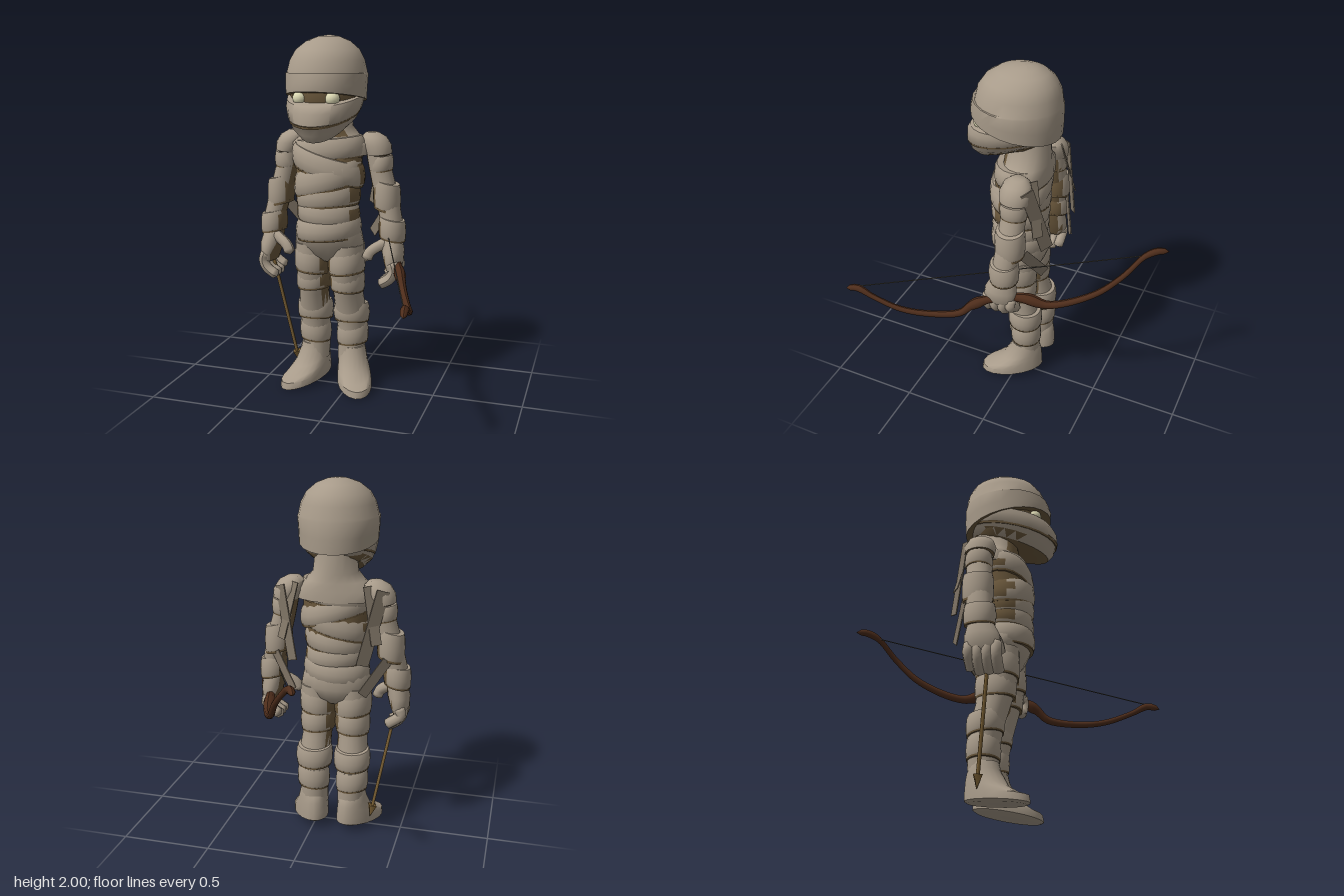
import * as THREE from 'three';
import { toCreasedNormals } from 'three/addons/utils/BufferGeometryUtils.js';

const mat = (name, color, side = THREE.FrontSide) => {
  const m = new THREE.MeshStandardMaterial({ color, side });
  m.name = name;
  return m;
};

// Stacked oval rings, bottom to top: [x, y, z, rx, rz, tiltX, tiltZ]
function loft(rings, seg = 18) {
  const pos = [], idx = [], n = rings.length;
  for (const [x, y, z, rx, rz, tx = 0, tz = 0] of rings) {
    for (let j = 0; j < seg; j++) {
      const a = (j / seg) * Math.PI * 2, dx = Math.cos(a) * rx, dz = Math.sin(a) * rz;
      pos.push(x + dx, y + dx * tx + dz * tz, z + dz);
    }
  }
  pos.push(...rings[0].slice(0, 3), ...rings[n - 1].slice(0, 3));
  for (let j = 0; j < seg; j++) {
    const k = (j + 1) % seg, top = (n - 1) * seg;
    for (let i = 0; i < n - 1; i++) {
      const a = i * seg + j, b = i * seg + k;
      idx.push(a, a + seg, b, b, a + seg, b + seg);
    }
    idx.push(n * seg, j, k, n * seg + 1, top + k, top + j);
  }
  const g = new THREE.BufferGeometry();
  g.setAttribute('position', new THREE.Float32BufferAttribute(pos, 3));
  g.setIndex(idx);
  g.computeVertexNormals();
  return toCreasedNormals(g, 0.85);
}

// Sorts faces into two material groups; isSecond(faceNormal, faceCentre) picks the second
function twoTone(g, isSecond) {
  const p = g.attributes.position, lists = [[], []], tri = new THREE.Triangle();
  const n = new THREE.Vector3(), c = new THREE.Vector3();
  for (let i = 0; i < p.count; i += 3) {
    tri.setFromAttributeAndIndices(p, i, i + 1, i + 2);
    tri.getNormal(n);
    tri.getMidpoint(c);
    lists[isSecond(n, c) ? 1 : 0].push(i, i + 1, i + 2);
  }
  g.setIndex(lists.flat());
  g.addGroup(0, lists[0].length, 0);
  g.addGroup(lists[0].length, lists[1].length, 1);
  return g;
}

// Tube whose radius follows radius(t), closed to a point by zero radius at the ends
function taperTube(points, radius, segs, sides) {
  const curve = new THREE.CatmullRomCurve3(points.map(p => new THREE.Vector3(...p)));
  const g = new THREE.TubeGeometry(curve, segs, 1, sides);
  const p = g.attributes.position, v = new THREE.Vector3();
  for (let i = 0; i <= segs; i++) {
    const c = curve.getPointAt(i / segs), r = radius(i / segs);
    for (let j = 0; j <= sides; j++) {
      const k = i * (sides + 1) + j;
      v.fromBufferAttribute(p, k).sub(c).multiplyScalar(r).add(c);
      p.setXYZ(k, v.x, v.y, v.z);
    }
  }
  g.computeVertexNormals();
  return g;
}

export function createModel() {
  const cloth = mat('bandage', 0xa89b8a), dark = mat('dark skin', 0x6b583c);
  const strip = mat('loose bandage', 0x7f7465, THREE.DoubleSide);
  const wood = mat('bow wood', 0x4e2d1b), cord = mat('bow string', 0x55524a);
  const eyeMat = mat('eye', 0xe0dcb6), shaftMat = mat('arrow', 0x7d6236);

  const model = new THREE.Group(), body = new THREE.Group();
  model.name = 'bandagedArcher';
  body.name = 'body';
  body.position.x = -0.107;
  model.add(body);
  const add = (name, geo, m, parent = body) => {
    const mesh = new THREE.Mesh(geo, m);
    mesh.name = name;
    parent.add(mesh);
    return mesh;
  };
  // Cloth with bare dark skin where the test holds
  const addPatched = (name, geo, isDark) => add(name, twoTone(geo, isDark), [cloth, dark]);
  // Bulging bandage band with a dark crease under its lower edge
  const wrap = (name, x, y0, y1, z, rx, rz, tx, tz, isDark) => {
    const ring = (t, k) => [x, y0 + (y1 - y0) * t, z, rx * k, rz * k, tx, tz];
    addPatched(name, loft([ring(0, 0.94), ring(0.12, 0.985), ring(0.45, 1), ring(0.8, 0.97), ring(1, 0.9)], 22), isDark);
    add(name + 'Crease', loft([ring(-0.07, 0.945), ring(0.02, 0.955)], 22), dark);
  };

  // Torso, bare along the flanks
  const flank = (n, c) => Math.abs(n.x) > 0.88 && c.y > 0.99 && c.y < 1.36;
  add('torsoCore', loft([[0, 0.8, 0.02, 0.12, 0.1], [0, 0.95, 0.03, 0.165, 0.145], [0, 1.1, 0.03, 0.165, 0.148],
    [0, 1.3, 0.025, 0.19, 0.156], [0, 1.42, 0.01, 0.18, 0.13]]), dark);
  addPatched('pelvis', loft([[0, 0.76, 0.01, 0.06, 0.07], [0, 0.8, 0.01, 0.15, 0.115], [0, 0.86, 0.015, 0.2, 0.14],
    [0, 0.92, 0.03, 0.19, 0.155], [0, 0.98, 0.035, 0.17, 0.15]]), n => n.y < -0.85);
  [[0.9, 1.01, 0.035, 0.188, 0.165, 0.08, 0], [0.99, 1.1, 0.035, 0.178, 0.16, -0.06, 0],
    [1.08, 1.2, 0.035, 0.182, 0.163, 0.09, 0.05], [1.17, 1.3, 0.035, 0.195, 0.168, 0.24, 0],
    [1.25, 1.37, 0.03, 0.207, 0.168, -0.3, 0], [1.34, 1.45, 0.015, 0.205, 0.153, 0.1, 0]]
    .forEach((b, i) => wrap('torsoWrap' + i, 0, ...b, flank));
  addPatched('upperBackAndNeck', loft([[0, 1.36, -0.01, 0.22, 0.13], [0, 1.42, -0.01, 0.22, 0.13], [0, 1.465, -0.01, 0.165, 0.125],
    [0, 1.51, -0.01, 0.125, 0.125], [0, 1.64, -0.01, 0.11, 0.12]]), (n, c) => n.z > 0.6 && c.y > 1.47);

  // Head
  const below = n => n.y < -0.75;
  add('face', loft([[0, 1.56, 0.07, 0.13, 0.15], [0, 1.6, 0.07, 0.18, 0.18], [0, 1.7, 0.06, 0.195, 0.2],
    [0, 1.8, 0.05, 0.19, 0.2]]), dark);
  addPatched('headWrap', loft([[0, 1.672, 0.055, 0.193, 0.225, 0, 0.18], [0, 1.672, 0.058, 0.214, 0.247, 0, 0.18],
    [0, 1.73, 0.057, 0.217, 0.25, 0, 0.1], [0, 1.8, 0.05, 0.221, 0.243, 0, 0.04], [0, 1.805, 0.046, 0.216, 0.234],
    [0, 1.87, 0.042, 0.2, 0.222], [0, 1.925, 0.036, 0.17, 0.19], [0, 1.97, 0.025, 0.115, 0.135],
    [0, 1.993, 0.015, 0.055, 0.065], [0, 2, 0.01, 0.012, 0.015]], 24), below);
  addPatched('jawWrap', loft([[0, 1.535, 0.1, 0.06, 0.13, 0, -0.42], [0, 1.54, 0.07, 0.13, 0.215, 0, -0.42],
    [0, 1.575, 0.07, 0.175, 0.245, 0, -0.36], [0, 1.605, 0.075, 0.188, 0.255, 0, -0.28], [0, 1.61, 0.075, 0.193, 0.265, 0, -0.26],
    [0, 1.66, 0.072, 0.205, 0.263, 0, -0.22], [0, 1.69, 0.065, 0.205, 0.248, 0, -0.2], [0, 1.695, 0.06, 0.185, 0.225, 0, -0.2]], 24), below);
  add('mouthCrease', loft([[0, 1.597, 0.075, 0.188, 0.259, 0, -0.28], [0, 1.607, 0.075, 0.191, 0.262, 0, -0.27]], 24), dark);

  // Loose strip lying between two points, facing back and outward
  const tail = (name, a, b, width, s) => {
    const p = new THREE.Vector3(...a), q = new THREE.Vector3(...b);
    const dir = q.clone().sub(p), len = dir.length();
    dir.normalize();
    const wide = new THREE.Vector3().crossVectors(dir, new THREE.Vector3(s * 0.6, 0, -0.8)).normalize();
    const mesh = add(name, new THREE.BoxGeometry(width, len, 0.006), strip);
    mesh.quaternion.setFromRotationMatrix(new THREE.Matrix4().makeBasis(wide, dir, wide.clone().cross(dir)));
    mesh.position.copy(p).add(q).multiplyScalar(0.5);
  };

  for (const s of [-1, 1]) {
    const side = s > 0 ? 'left' : 'right';
    const inner = n => n.x * s < -0.78;
    const innerThigh = (n, c) => inner(n) && c.y > 0.5;
    const sideLoft = (name, rings, isDark = inner) =>
      addPatched(side + name, loft(rings.map(([x, ...r]) => [s * x, ...r])), isDark);

    const eye = add(side + 'Eye', new THREE.SphereGeometry(0.039, 14, 10), eyeMat);
    eye.position.set(s * 0.09, 1.678, 0.225);

    // Arm
    sideLoft('Arm', [[0.35, 0.88, -0.02, 0.055, 0.065], [0.345, 1.0, -0.03, 0.062, 0.07], [0.32, 1.1, -0.04, 0.065, 0.07],
      [0.295, 1.2, -0.045, 0.065, 0.07], [0.27, 1.3, -0.05, 0.062, 0.07], [0.25, 1.4, -0.05, 0.06, 0.07]]);
    sideLoft('Shoulder', [[0.27, 1.355, -0.05, 0.05, 0.065], [0.268, 1.36, -0.05, 0.07, 0.082, s * 0.1],
      [0.252, 1.41, -0.05, 0.082, 0.088], [0.235, 1.455, -0.05, 0.07, 0.073], [0.225, 1.48, -0.05, 0.035, 0.038]], below);
    wrap(side + 'UpperArmWrap', s * 0.28, 1.27, 1.35, -0.05, 0.066, 0.075, s * 0.15, 0, inner);
    wrap(side + 'ElbowWrap', s * 0.315, 1.06, 1.21, -0.045, 0.077, 0.085, s * -0.25, 0, inner);
    wrap(side + 'WristWrap', s * 0.352, 0.9, 1.01, -0.025, 0.076, 0.085, s * -0.2, 0, inner);

    // Hand
    sideLoft('Palm', [[0.365, 0.73, 0, 0.035, 0.078], [0.368, 0.77, -0.005, 0.052, 0.095],
      [0.362, 0.83, -0.01, 0.062, 0.092], [0.35, 0.9, -0.02, 0.058, 0.068]]);
    const round = r => t => (t === 0 || t === 1 ? 0 : r * Math.min(1, 0.7 + 4 * Math.min(t, 1 - t)));
    for (let i = 0; i < 4; i++) {
      const z = 0.066 - i * 0.047, d = i === 3 ? 0.025 : 0;
      add(side + 'Finger' + i, taperTube([[s * 0.37, 0.79, z], [s * 0.385, 0.735, z], [s * 0.365, 0.69 + d, z],
        [s * 0.3, 0.645 + d, z]], round(0.03), 12, 8), cloth);
    }
    add(side + 'Thumb', taperTube([[s * 0.36, 0.895, 0], [s * 0.3, 0.865, 0.03], [s * 0.245, 0.825, 0.05],
      [s * 0.225, 0.775, 0.055]], round(0.031), 12, 8), cloth);

    // Leg
    sideLoft('Leg', [[0.107, 0.15, -0.045, 0.078, 0.083], [0.107, 0.24, -0.055, 0.078, 0.082], [0.112, 0.35, -0.05, 0.084, 0.085],
      [0.11, 0.45, -0.035, 0.09, 0.09], [0.103, 0.56, -0.005, 0.084, 0.093], [0.1, 0.65, 0.01, 0.093, 0.105],
      [0.1, 0.76, 0.015, 0.1, 0.115], [0.1, 0.86, 0.015, 0.1, 0.118]], innerThigh);
    wrap(side + 'ShinWrap', s * 0.113, 0.26, 0.37, -0.053, 0.093, 0.09, s * 0.1, 0, innerThigh);
    wrap(side + 'KneeWrap', s * 0.11, 0.395, 0.5, -0.045, 0.105, 0.1, 0, 0.12, innerThigh);
    wrap(side + 'LowerThighWrap', s * 0.1, 0.595, 0.71, 0.005, 0.1, 0.11, s * -0.06, 0, innerThigh);
    wrap(side + 'UpperThighWrap', s * 0.1, 0.7, 0.83, 0.015, 0.106, 0.12, s * 0.1, 0, innerThigh);

    // Foot, turned outward
    const foot = add(side + 'Foot', loft([[0, 0.025, 0.075, 0.08, 0.17, 0, -0.135], [0, 0.035, 0.075, 0.098, 0.188, 0, -0.135],
      [0, 0.075, 0.072, 0.098, 0.184, 0, -0.15], [0, 0.115, 0.05, 0.092, 0.155, 0, -0.32], [0, 0.155, 0.02, 0.084, 0.115, 0, -0.38],
      [0, 0.205, 0, 0.078, 0.085, 0, -0.1], [0, 0.24, 0, 0.07, 0.075]]), cloth);
    foot.position.set(s * 0.117, 0, -0.045);
    foot.rotation.y = s * 0.42;

    // Loose strips on the back
    tail(side + 'ShoulderTail', [s * 0.28, 1.44, -0.125], [s * 0.19, 1.05, -0.205], 0.075, s);
    tail(side + 'BackTail', [s * 0.2, 1.46, -0.12], [s * 0.26, 1.16, -0.18], 0.06, s);
    tail(side + 'HipTail', [s * 0.31, 1.06, -0.12], [s * 0.19, 0.88, -0.195], 0.06, s);
  }

  // Bow
  const bow = new THREE.Group();
  bow.name = 'bow';
  model.add(bow);
  const bump = (t, c, w) => Math.exp(-(((t - c) / w) ** 2));
  add('bowLimbs', taperTube([[-0.1, 1.1, -0.83], [-0.075, 1.105, -0.78], [-0.035, 1.08, -0.72], [0.05, 0.97, -0.63],
    [0.115, 0.85, -0.5], [0.205, 0.765, -0.275], [0.235, 0.79, -0.14], [0.285, 0.77, 0.02], [0.335, 0.72, 0.13],
    [0.365, 0.665, 0.19], [0.425, 0.645, 0.35], [0.478, 0.665, 0.51], [0.505, 0.72, 0.67], [0.515, 0.76, 0.76], [0.525, 0.74, 0.83]],
  t => (t === 0 || t === 1 ? 0 : 0.014 + 0.01 * bump(t, 0.5, 0.28) + 0.01 * bump(t, 0.43, 0.03) + 0.01 * bump(t, 0.59, 0.02)
    + 0.006 * (bump(t, 0.04, 0.03) + bump(t, 0.96, 0.03))), 72, 9), wood, bow);

  // Straight rod between two points
  const rod = (name, a, b, r0, r1, m, parent, sides = 6) => {
    const p = new THREE.Vector3(...a), q = new THREE.Vector3(...b), d = q.clone().sub(p);
    const mesh = add(name, new THREE.CylinderGeometry(r1, r0, d.length(), sides), m, parent);
    mesh.position.copy(p).add(q).multiplyScalar(0.5);
    mesh.quaternion.setFromUnitVectors(new THREE.Vector3(0, 1, 0), d.normalize());
  };
  rod('bowString', [-0.06, 1.085, -0.76], [0.513, 0.765, 0.77], 0.003, 0.003, cord, bow);

  // Arrow held point down
  const arrow = new THREE.Group();
  arrow.name = 'arrow';
  model.add(arrow);
  rod('arrowShaft', [-0.45, 0.74, 0.02], [-0.342, 0.15, -0.052], 0.01, 0.01, shaftMat, arrow);
  rod('arrowHead', [-0.342, 0.155, -0.052], [-0.33, 0.085, -0.06], 0.03, 0.001, shaftMat, arrow, 4);
  return model;
}
